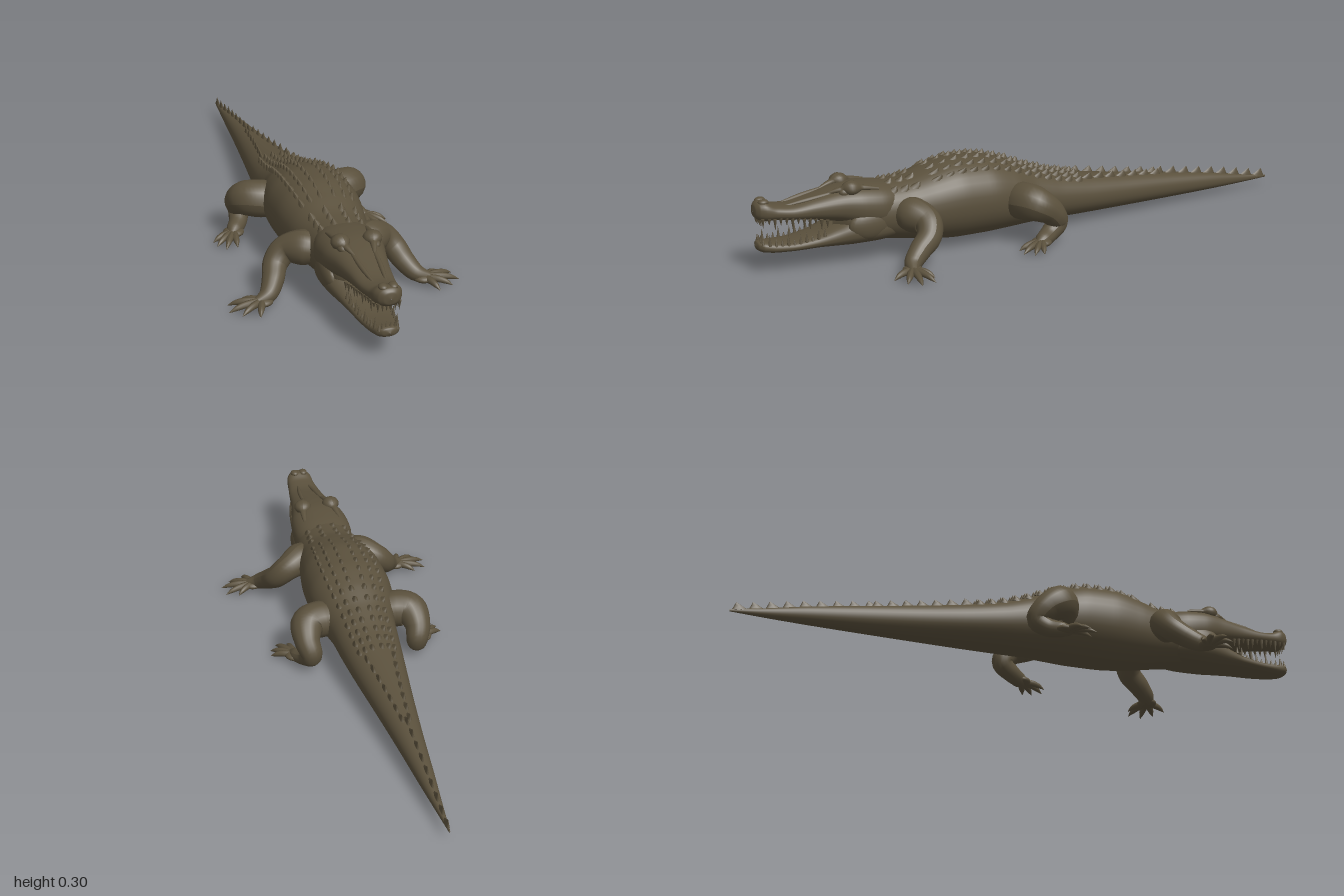
import * as THREE from 'three';
import { mergeGeometries } from 'three/addons/utils/BufferGeometryUtils.js';

const hide = new THREE.MeshStandardMaterial({ color: 0x5a503c });
hide.name = 'olive brown hide';

// Cross-sections from back to front: z, half width, bottom y, top y
const BODY = [
  [-1, 0.002, 0.028, 0.036], [-0.9, 0.012, 0.024, 0.052], [-0.75, 0.028, 0.02, 0.08],
  [-0.55, 0.048, 0.018, 0.11], [-0.35, 0.071, 0.018, 0.138], [-0.2, 0.09, 0.019, 0.162],
  [-0.08, 0.104, 0.02, 0.188], [0.02, 0.115, 0.02, 0.222], [0.1, 0.135, 0.018, 0.257],
  [0.2, 0.148, 0.015, 0.284], [0.3, 0.146, 0.015, 0.288], [0.4, 0.132, 0.024, 0.268],
  [0.48, 0.115, 0.038, 0.246], [0.56, 0.106, 0.05, 0.242], [0.64, 0.098, 0.058, 0.238],
  [0.7, 0.078, 0.075, 0.22], [0.74, 0.03, 0.1, 0.17],
];
const UPPER = [
  [0.5, 0.08, 0.11, 0.232], [0.58, 0.105, 0.095, 0.248], [0.65, 0.103, 0.11, 0.253],
  [0.72, 0.086, 0.135, 0.246], [0.8, 0.069, 0.152, 0.23], [0.88, 0.058, 0.164, 0.217],
  [0.93, 0.05, 0.17, 0.222], [0.965, 0.046, 0.17, 0.238], [0.985, 0.037, 0.176, 0.236],
  [0.996, 0.022, 0.186, 0.226], [1, 0.001, 0.205, 0.207],
];
const LOWER = [
  [0.5, 0.08, 0.06, 0.14], [0.6, 0.103, 0.054, 0.16], [0.68, 0.098, 0.054, 0.155],
  [0.74, 0.083, 0.057, 0.13], [0.8, 0.069, 0.06, 0.108], [0.88, 0.057, 0.06, 0.097],
  [0.94, 0.047, 0.062, 0.1], [0.975, 0.037, 0.067, 0.105], [0.99, 0.022, 0.075, 0.102],
  [0.996, 0.001, 0.087, 0.089],
];

function sectionAt(rows, z) {
  let i = 0;
  while (i < rows.length - 2 && rows[i + 1][0] < z) i++;
  const a = rows[i], b = rows[i + 1], f = (z - a[0]) / (b[0] - a[0]);
  return a.map((v, k) => v + (b[k] - v) * f);
}

// Smooth skin over superellipse cross-sections
function loft(rows, power, steps = 6, sides = 36) {
  const size = new THREE.CatmullRomCurve3(rows.map(r => new THREE.Vector3(r[1], r[2], r[3])));
  const along = new THREE.CatmullRomCurve3(rows.map(r => new THREE.Vector3(0, 0, r[0])));
  const pos = [], index = [], n = (rows.length - 1) * steps;
  const curve = v => Math.sign(v) * Math.abs(v) ** (2 / power);
  for (let i = 0; i <= n; i++) {
    const s = size.getPoint(i / n), z = along.getPoint(i / n).z;
    for (let j = 0; j < sides; j++) {
      const a = j / sides * Math.PI * 2;
      pos.push(s.x * curve(Math.cos(a)), (s.y + s.z) / 2 + (s.z - s.y) / 2 * curve(Math.sin(a)), z);
      if (i === n) continue;
      const p = i * sides + j, q = i * sides + (j + 1) % sides;
      index.push(p, q, p + sides, q, q + sides, p + sides);
    }
  }
  const g = new THREE.BufferGeometry();
  g.setAttribute('position', new THREE.Float32BufferAttribute(pos, 3));
  g.setIndex(index);
  g.computeVertexNormals();
  return g;
}

// Tube with a varying radius; points are x, y, z, radius
function taper(points, side, squash = 1, steps = 30, sides = 14) {
  const path = new THREE.CatmullRomCurve3(points.map(p => new THREE.Vector3(p[0] * side, p[1], p[2])));
  const radii = new THREE.CatmullRomCurve3(points.map(p => new THREE.Vector3(p[3], 0, 0)));
  const g = new THREE.TubeGeometry(path, steps, 1, sides);
  const pos = g.attributes.position, v = new THREE.Vector3();
  for (let k = 0; k < pos.count; k++) {
    const u = Math.floor(k / (sides + 1)) / steps, c = path.getPointAt(u);
    const r = Math.max(0.0005, radii.getPoint(path.getUtoTmapping(u)).x);
    v.fromBufferAttribute(pos, k).sub(c).multiplyScalar(r);
    pos.setXYZ(k, c.x + v.x, c.y + v.y * squash, c.z + v.z);
  }
  g.computeVertexNormals();
  return g;
}

// Keeled scale whose peak leans toward the tail
function scute(x, y, z, w, h, l) {
  const g = new THREE.ConeGeometry(1, 1, 8, 2).translate(0, 0.5, 0);
  const pos = g.attributes.position;
  for (let i = 0; i < pos.count; i++) pos.setZ(i, pos.getZ(i) - 0.6 * pos.getY(i));
  g.scale(w, h, l).rotateZ(-x * 5).translate(x, y, z);
  g.computeVertexNormals();
  return g;
}

function onBack(rows, f, z, w, h, l, power) {
  const [, hw, b, t] = sectionAt(rows, z);
  const y = (b + t) / 2 + (t - b) / 2 * (1 - Math.abs(f) ** power) ** (1 / power);
  return scute(f * hw, y - 0.006, z, w, h, l);
}

const blob = (x, y, z, sx, sy, sz) =>
  new THREE.SphereGeometry(1, 20, 14).scale(sx, sy, sz).translate(x, y, z);

export function createModel() {
  const model = new THREE.Group();
  const add = (name, geometry, parent = model) => {
    const mesh = new THREE.Mesh(geometry, hide);
    mesh.name = name;
    parent.add(mesh);
  };
  add('bodyAndTail', loft(BODY, 2.15));
  add('upperHead', loft(UPPER, 2.4));
  add('lowerJaw', loft(LOWER, 2.4));

  // Rows of scales along the back and neck
  const back = [];
  for (let z = -0.16; z < 0.42; z += 0.042)
    for (const f of [0.17, 0.42, 0.62])
      for (const s of [-1, 1]) back.push(onBack(BODY, s * f, z, 0.012, 0.02, 0.022, 2.15));
  for (const z of [0.46, 0.5, 0.54])
    for (const f of [-0.6, -0.22, 0.22, 0.6]) back.push(onBack(BODY, f, z, 0.016, 0.02, 0.02, 2.15));
  add('backScales', mergeGeometries(back));

  // Paired tail crests that merge into a single saw edge
  const crest = [];
  for (let z = -0.2; z > -0.52; z -= 0.05)
    for (const s of [-1, 1]) crest.push(onBack(BODY, s * (0.5 + (z + 0.2) * 0.9), z, 0.009, 0.024, 0.03, 2.15));
  for (let z = -0.52; z > -0.97; z -= 0.055) crest.push(onBack(BODY, 0, z, 0.007, 0.028, 0.032, 2.15));
  add('tailCrest', mergeGeometries(crest));

  // Brows, eyes, nostrils and cheeks
  const nose = [], eyes = [], brows = [], cheeks = [];
  for (const s of [-1, 1]) {
    eyes.push(blob(s * 0.054, 0.237, 0.7, 0.016, 0.016, 0.024));
    brows.push(taper([[0.032, 0.236, 0.76, 0.004], [0.046, 0.247, 0.71, 0.012],
      [0.058, 0.247, 0.65, 0.012], [0.066, 0.238, 0.59, 0.006]], s, 0.8));
    brows.push(taper([[0.02, 0.212, 0.9, 0.004], [0.03, 0.224, 0.82, 0.008], [0.036, 0.236, 0.74, 0.006]], s));
    nose.push(blob(s * 0.016, 0.234, 0.968, 0.015, 0.01, 0.018));
    cheeks.push(blob(s * 0.082, 0.125, 0.63, 0.026, 0.05, 0.075));
  }
  add('eyes', mergeGeometries(eyes));
  add('browRidges', mergeGeometries(brows));
  add('nostrils', mergeGeometries(nose));
  add('cheeks', mergeGeometries(cheeks));

  // Teeth follow both jaw edges; dir is +1 for upward
  const teeth = (rows, dir, start, count) => {
    const list = [];
    for (let i = 0; i < count; i++) {
      const z = start + (0.978 - start) * i / (count - 1), [, hw, b, t] = sectionAt(rows, z);
      const len = 0.03 + 0.012 * Math.sin(i * 2.3), edge = dir > 0 ? t : b;
      for (const s of [-1, 1]) {
        const g = new THREE.ConeGeometry(0.0065, len, 8);
        if (dir < 0) g.rotateX(Math.PI);
        list.push(g.translate(s * hw * 0.84, edge + dir * (len / 2 - 0.012), z));
      }
    }
    for (const x of [-0.02, -0.007, 0.007, 0.02]) {
      const [, , b, t] = sectionAt(rows, 0.98), g = new THREE.ConeGeometry(0.005, 0.03, 8);
      if (dir < 0) g.rotateX(Math.PI);
      list.push(g.translate(x, (dir > 0 ? t : b) + dir * 0.006, 0.98));
    }
    return mergeGeometries(list);
  };
  add('upperTeeth', teeth(UPPER, -1, 0.77, 12));
  add('lowerTeeth', teeth(LOWER, 1, 0.78, 11));

  // Legs: limb path, then a flat palm and clawed toes fanned to their tips
  const legs = {
    FrontLeg: {
      limb: [[0.06, 0.14, 0.52, 0.04], [0.11, 0.145, 0.49, 0.058], [0.165, 0.13, 0.462, 0.046],
        [0.2, 0.095, 0.475, 0.041], [0.222, 0.06, 0.52, 0.036], [0.25, 0.032, 0.558, 0.029], [0.29, 0.02, 0.575, 0.015]],
      palm: [0.272, 0.018, 0.57],
      tips: [[0.335, 0.522], [0.378, 0.54], [0.386, 0.59], [0.352, 0.625], [0.3, 0.648]],
    },
    HindLeg: {
      limb: [[0.07, 0.13, 0.09, 0.055], [0.135, 0.138, 0.092, 0.064], [0.182, 0.138, 0.072, 0.06],
        [0.197, 0.105, 0.02, 0.045], [0.188, 0.062, -0.006, 0.037], [0.2, 0.033, 0.03, 0.031],
        [0.225, 0.022, 0.07, 0.026], [0.24, 0.018, 0.095, 0.012]],
      palm: [0.228, 0.018, 0.075],
      tips: [[0.308, 0.108], [0.302, 0.14], [0.278, 0.17], [0.238, 0.165]],
    },
  };
  for (const [kind, { limb, palm, tips }] of Object.entries(legs))
    for (const [label, s] of [['left', 1], ['right', -1]]) {
      const leg = new THREE.Group();
      leg.name = label + kind;
      add('limb', taper(limb, s, 1, 44, 18), leg);
      add('palm', blob(palm[0] * s, palm[1], palm[2], 0.036, 0.015, 0.034), leg);
      add('clawedToes', mergeGeometries(tips.map(([x, z]) => {
        const mix = f => [palm[0] + (x - palm[0]) * f, palm[2] + (z - palm[2]) * f];
        const [ax, az] = mix(0.1), [bx, bz] = mix(0.5), [cx, cz] = mix(0.76);
        return taper([[ax, 0.019, az, 0.014], [bx, 0.019, bz, 0.012], [cx, 0.014, cz, 0.009], [x, 0.004, z, 0.0008]],
          s, 0.9, 14, 10);
      })), leg);
      model.add(leg);
    }
  return model;
}
